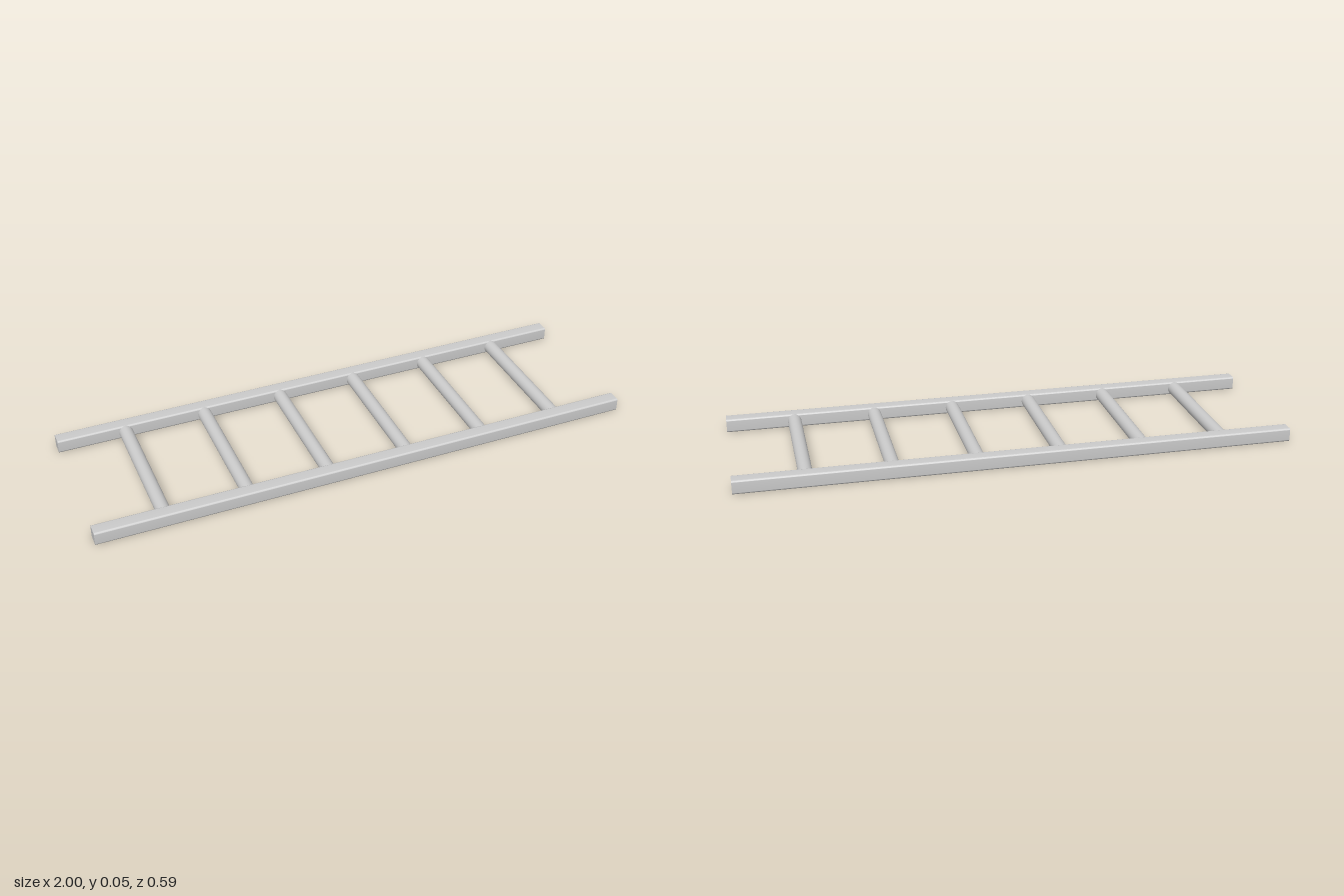
import * as THREE from 'three';
import { toCreasedNormals } from 'three/addons/utils/BufferGeometryUtils.js';

const LENGTH = 2, SECTION = 0.05, RAIL_Z = 0.271, CORNER = 0.006;

// Square rail section with softly rounded corners, run along x
function railGeometry() {
  const h = SECTION / 2, c = h - CORNER;
  const s = new THREE.Shape();
  s.absarc(c, c, CORNER, 0, Math.PI / 2);
  s.absarc(-c, c, CORNER, Math.PI / 2, Math.PI);
  s.absarc(-c, -c, CORNER, Math.PI, Math.PI * 1.5);
  s.absarc(c, -c, CORNER, Math.PI * 1.5, Math.PI * 2);
  const g = new THREE.ExtrudeGeometry(s, { depth: LENGTH, bevelEnabled: false, curveSegments: 4 });
  g.translate(0, 0, -LENGTH / 2).rotateY(Math.PI / 2);
  return toCreasedNormals(g, 0.6);
}

export function createModel() {
  const ladder = new THREE.Group();
  ladder.name = 'ladder';
  const material = new THREE.MeshStandardMaterial({ color: 0xcccccc });

  const add = (name, geometry, x, z) => {
    const mesh = new THREE.Mesh(geometry, material);
    mesh.name = name;
    mesh.position.set(x, SECTION / 2, z);
    ladder.add(mesh);
  };

  // Two long side rails
  const rail = railGeometry();
  add('frontRail', rail, 0, RAIL_Z);
  add('backRail', rail, 0, -RAIL_Z);

  // Six round rungs, evenly spaced and seated in the rails
  const rung = new THREE.CylinderGeometry(SECTION / 2, SECTION / 2, RAIL_Z * 2 - 0.04, 32);
  rung.rotateX(Math.PI / 2);
  for (let i = 0; i < 6; i++) add(`rung${i + 1}`, rung, -0.75 + i * 0.3, 0);

  return ladder;
}
